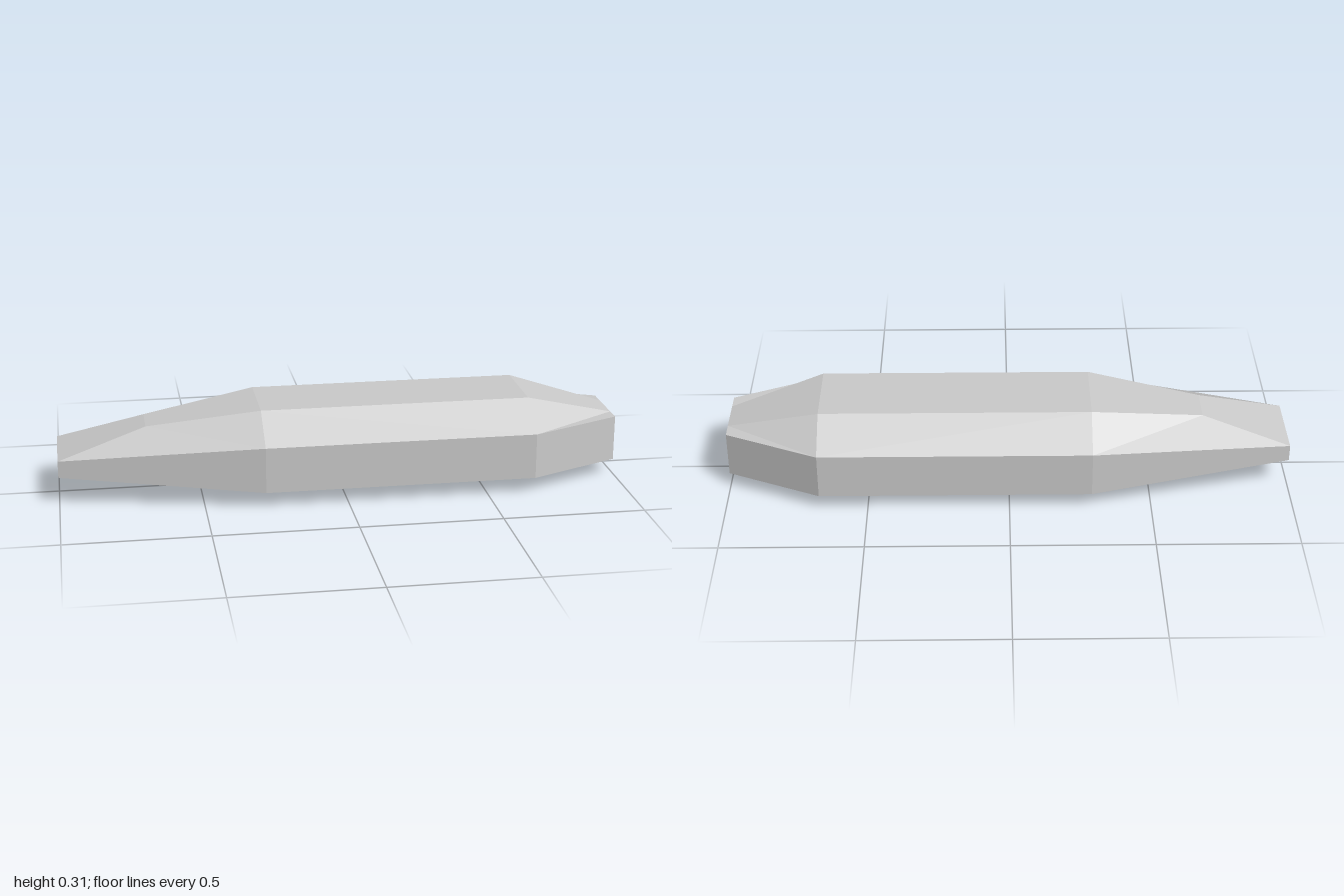
import * as THREE from 'three';

// Hull stations along x: bottom y, shoulder y, shoulder half width, roof y, roof half width
const stations = [
  { x: -1.0, b: 0.1, s: 0.16, w: 0.135, t: 0.16, tw: 0.135 },
  { x: -0.69, b: 0.08, s: 0.185, w: 0.195, t: 0.25, tw: 0.068 },
  { x: -0.29, b: 0.054, s: 0.217, w: 0.273, t: 0.31, tw: 0.137 },
  { x: 0.67, b: 0.054, s: 0.217, w: 0.273, t: 0.31, tw: 0.137 },
  { x: 1.0, b: 0.054, s: 0.217, w: 0.125, t: 0.217, tw: 0.065 },
];

// Half cross-section from the bottom centre, round one side, to the roof centre
function halfRing({ x, b, s, w, t, tw }, side) {
  return [[b, 0], [b, w], [s, w], [t, tw], [t, 0]]
    .map(([y, z]) => new THREE.Vector3(x, y, z * side));
}

function hullGeometry() {
  const points = [];
  for (const side of [1, -1]) {
    const tri = (a, b, c) => {
      if (new THREE.Triangle(a, b, c).getArea() < 1e-7) return;
      points.push(...(side > 0 ? [a, b, c] : [a, c, b]));
    };
    const rings = stations.map((st) => halfRing(st, side));
    const last = rings.length - 1;
    for (let i = 0; i < last; i++) {
      for (let j = 0; j < 4; j++) {
        const a = rings[i][j], b = rings[i + 1][j];
        const c = rings[i + 1][j + 1], d = rings[i][j + 1];
        // The stern bay folds along the opposite diagonal
        if (i === last - 1) {
          tri(a, b, c);
          tri(a, c, d);
        } else {
          tri(a, b, d);
          tri(b, c, d);
        }
      }
    }
    // Nose and stern end faces
    const nose = rings[0], stern = rings[last];
    for (let j = 1; j < 4; j++) {
      tri(nose[0], nose[j], nose[j + 1]);
      tri(stern[0], stern[j + 1], stern[j]);
    }
  }
  const geometry = new THREE.BufferGeometry().setFromPoints(points);
  geometry.computeVertexNormals();
  return geometry;
}

export function createModel() {
  const group = new THREE.Group();
  const material = new THREE.MeshStandardMaterial({ color: 0xcccccc, flatShading: true });

  const hull = new THREE.Mesh(hullGeometry(), material);
  hull.name = 'hull';
  group.add(hull);

  // Tapered tray under the hull
  const trayGeometry = new THREE.CylinderGeometry(Math.SQRT1_2, 0.8 * Math.SQRT1_2, 0.054, 4, 1);
  trayGeometry.rotateY(Math.PI / 4).scale(0.96, 1, 0.274).translate(0.19, 0.027, 0);
  const tray = new THREE.Mesh(trayGeometry, material);
  tray.name = 'bellyTray';
  group.add(tray);

  return group;
}
